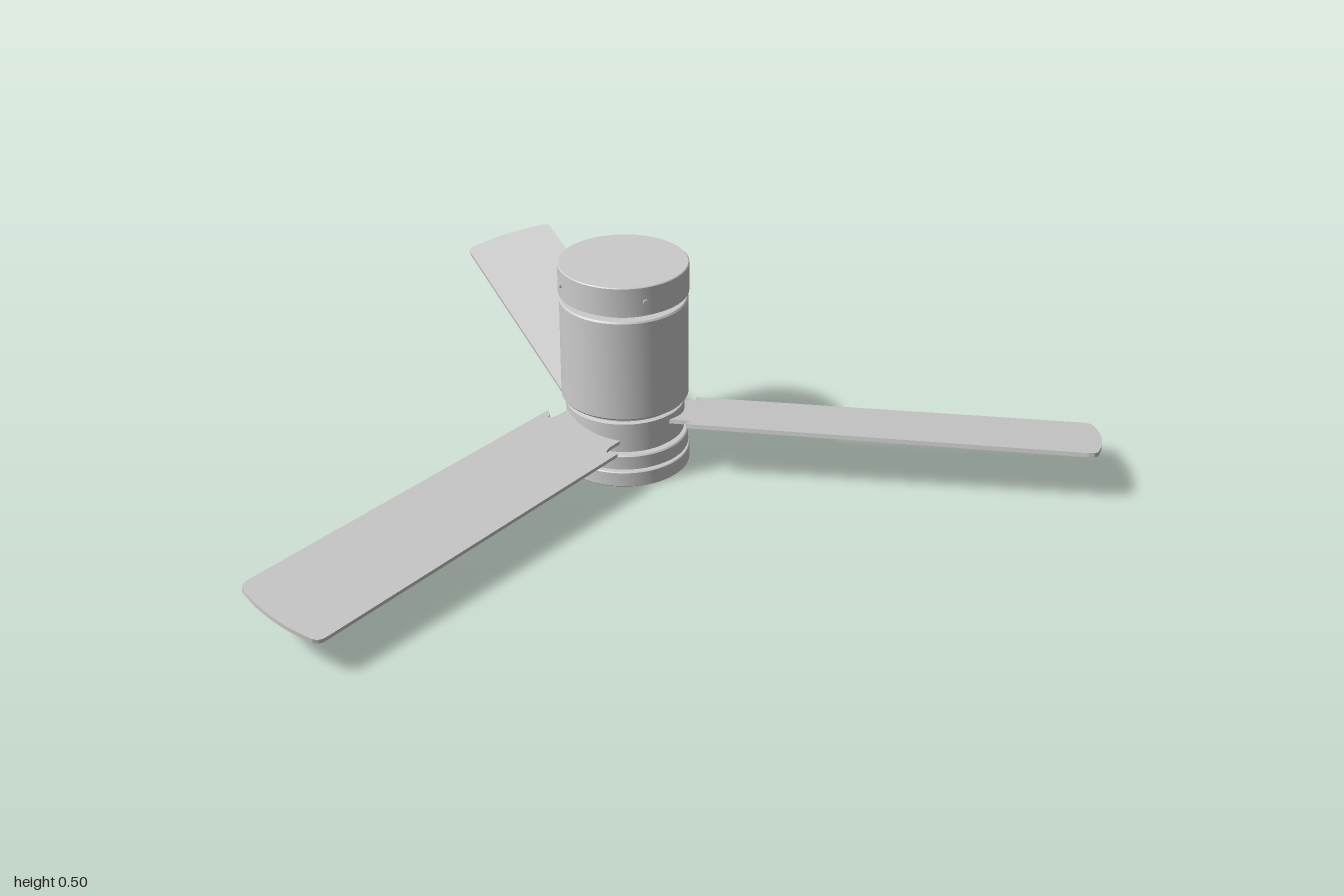
import * as THREE from 'three';
import { toCreasedNormals } from 'three/addons/utils/BufferGeometryUtils.js';

const grey = new THREE.MeshStandardMaterial({ color: 0xcccccc });
const rad = THREE.MathUtils.degToRad;

function add(parent, name, geometry) {
  const mesh = new THREE.Mesh(geometry, grey);
  mesh.name = name;
  parent.add(mesh);
  return mesh;
}

// Turned part from [radius, height] pairs, listed bottom to top
function turned(profile) {
  const points = profile.map(([r, y]) => new THREE.Vector2(r, y));
  return toCreasedNormals(new THREE.LatheGeometry(points, 64), rad(35));
}

// Flat blade: x runs outward; the narrow neck enters the hub, the tip bows out
function bladeGeometry() {
  const s = new THREE.Shape();
  s.moveTo(0.1, -0.08);
  s.lineTo(0.142, -0.08);
  s.quadraticCurveTo(0.172, -0.08, 0.17, -0.092);
  s.quadraticCurveTo(0.155, -0.092, 0.155, -0.108);
  s.lineTo(1.065, -0.116);
  s.quadraticCurveTo(1.088, -0.116, 1.092, -0.095);
  s.quadraticCurveTo(1.116, 0, 1.092, 0.095);
  s.quadraticCurveTo(1.088, 0.116, 1.065, 0.116);
  s.lineTo(0.155, 0.108);
  s.quadraticCurveTo(0.155, 0.092, 0.17, 0.092);
  s.quadraticCurveTo(0.172, 0.08, 0.142, 0.08);
  s.lineTo(0.1, 0.08);
  s.closePath();
  const depth = 0.01;
  const g = new THREE.ExtrudeGeometry(s, { depth, bevelEnabled: false, curveSegments: 8 });
  g.translate(0, 0, -depth / 2);
  g.rotateX(-Math.PI / 2);
  g.rotateX(-rad(11)); // pitch
  g.rotateZ(-rad(1)); // slight droop
  return toCreasedNormals(g, rad(35));
}

export function createModel() {
  const fan = new THREE.Group();
  fan.name = 'ceilingFan';
  fan.position.set(-0.185, 0, -0.06);

  // Ceiling canopy and the recessed neck beneath it
  add(fan, 'canopy', turned([[0, 0.435], [0.15, 0.435], [0.15, 0.503], [0.148, 0.505], [0, 0.505]]));
  add(fan, 'canopyNeck', new THREE.CylinderGeometry(0.122, 0.122, 0.03, 64).translate(0, 0.428, 0));

  // Motor housing
  add(fan, 'motorHousing', turned([
    [0, 0.172], [0.145, 0.172], [0.148, 0.176], [0.148, 0.416], [0.145, 0.42], [0, 0.42],
  ]));

  // Rotating hub that carries the blades
  add(fan, 'hub', turned([
    [0, 0.075], [0.128, 0.075], [0.128, 0.088], [0.138, 0.088], [0.138, 0.157],
    [0.128, 0.16], [0.128, 0.175], [0, 0.175],
  ]));

  // Lower housing, groove and light ring with a shallow recess underneath
  add(fan, 'lowerHousing', turned([
    [0, 0.045], [0.147, 0.045], [0.147, 0.077], [0.144, 0.08], [0, 0.08],
  ]));
  add(fan, 'lowerGroove', new THREE.CylinderGeometry(0.136, 0.136, 0.012, 64).translate(0, 0.042, 0));
  add(fan, 'lightRing', turned([
    [0, 0.006], [0.136, 0.006], [0.138, 0], [0.148, 0], [0.15, 0.002],
    [0.15, 0.036], [0.148, 0.038], [0, 0.038],
  ]));

  // Canopy screws
  const screw = new THREE.CylinderGeometry(0.006, 0.006, 0.008, 12).rotateZ(Math.PI / 2);
  for (let i = 0; i < 4; i++) {
    const pivot = new THREE.Group();
    pivot.name = 'canopyScrew';
    pivot.rotation.y = rad(38.6 + 90 * i);
    add(pivot, 'screwHead', screw).position.set(0.15, 0.468, 0);
    fan.add(pivot);
  }

  // Three blades
  const blade = bladeGeometry();
  for (const angle of [11.4, 126.5, 249.3]) {
    const mesh = add(fan, 'blade', blade);
    mesh.position.y = 0.127;
    mesh.rotation.y = rad(angle);
  }

  const model = new THREE.Group();
  model.name = 'model';
  model.add(fan);
  return model;
}
